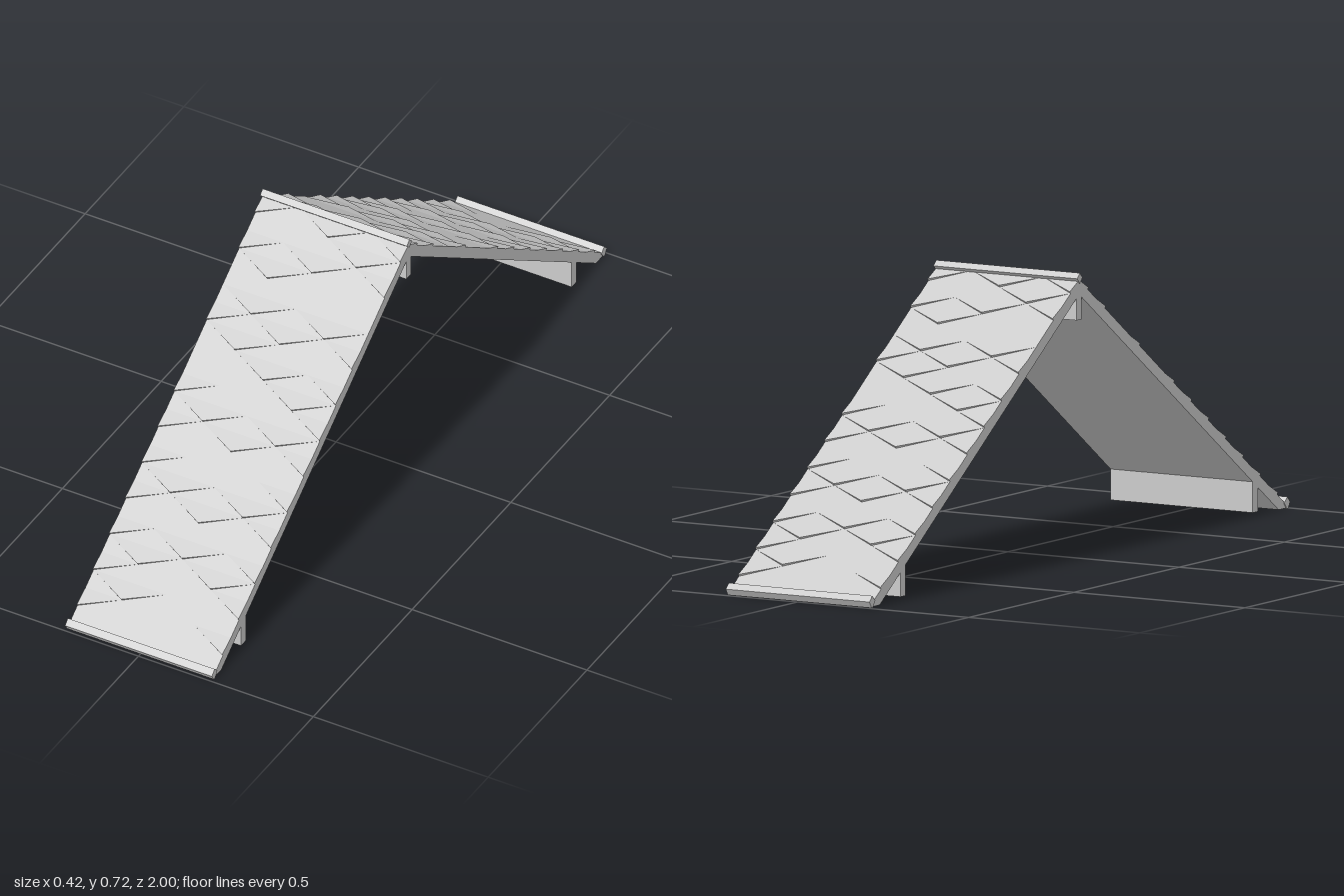
import * as THREE from 'three';

const WIDTH = 0.416;
const SLOPE = 0.7;
const RIDGE_Y = 0.7;
const material = new THREE.MeshStandardMaterial({ color: 0xcccccc, flatShading: true });
const tileMaterial = new THREE.MeshStandardMaterial({ color: 0xcccccc, flatShading: true, side: THREE.DoubleSide });

// Extrude a (z, y) profile across the roof width
function bar(name, points, width = WIDTH) {
  const shape = new THREE.Shape(points.map(([z, y]) => new THREE.Vector2(z, y)));
  const geometry = new THREE.ExtrudeGeometry(shape, { depth: width, bevelEnabled: false });
  geometry.rotateY(-Math.PI / 2).translate(width / 2, 0, 0);
  const mesh = new THREE.Mesh(geometry, material);
  mesh.name = name;
  return mesh;
}

// Raised tile tips: one column per string, one row per digit, ridge to eaves
const COLUMNS = [
  '110101111111',
  '001110101011',
  '110110101100',
  '010101101010',
  '110111111111',
];

function shingles() {
  const stepX = WIDTH / 4, stepY = 0.0573, lift = 0.006;
  const normal = new THREE.Vector3(0, 1, SLOPE).normalize();
  const onSlope = (x, y) => new THREE.Vector3(x, y, (RIDGE_Y - y) / SLOPE);
  const positions = [];
  const triangle = (...corners) => corners.forEach((v) => positions.push(v.x, v.y, v.z));

  COLUMNS.forEach((rows, col) => {
    const x = (col - 2) * stepX;
    [...rows].forEach((on, row) => {
      if (on === '0') return;
      const y = RIDGE_Y - row * stepY - (col % 2 ? 0 : stepY / 2);
      const tip = onSlope(x, y);
      const raised = tip.clone().addScaledVector(normal, lift);
      const middle = onSlope(x, y + stepY / 2);
      for (const side of [-1, 1]) {
        if (Math.abs(col - 2 + side) > 2) {
          triangle(middle, raised, tip); // closed verge of a half tile
          continue;
        }
        const corner = onSlope(x + side * stepX, y + stepY / 2);
        if (side > 0) {
          triangle(middle, raised, corner);
          triangle(tip, corner, raised);
        } else {
          triangle(middle, corner, raised);
          triangle(tip, raised, corner);
        }
      }
    });
  });
  const geometry = new THREE.BufferGeometry();
  geometry.setAttribute('position', new THREE.Float32BufferAttribute(positions, 3));
  geometry.computeVertexNormals();
  const mesh = new THREE.Mesh(geometry, tileMaterial);
  mesh.name = 'shingles';
  return mesh;
}

// One sloping half with tiles, support rail and eaves lip
function roofHalf() {
  const half = new THREE.Group();
  half.add(
    bar('roofPanel', [[0, 0.7], [0.975, 0.0175], [0.985, 0.002], [0.948, 0.002], [0, 0.664]]),
    bar('supportRail', [[0.825, 0.1], [0.825, 0.01], [0.849, 0.01], [0.849, 0.09]]),
    bar('eavesLip', [[1, 0.016], [0.986, 0.03], [0.972, 0.016], [0.984, 0], [0.99, 0]], 0.42),
    shingles(),
  );
  return half;
}

export function createModel() {
  const model = new THREE.Group();
  model.name = 'gableRoof';

  const front = roofHalf();
  front.name = 'frontSlope';
  const back = roofHalf();
  back.name = 'backSlope';
  back.rotation.y = Math.PI;

  // Ridge cap and the rail hanging below it
  model.add(
    front,
    back,
    bar('ridgeCap', [[0, 0.718], [-0.013, 0.705], [0, 0.692], [0.013, 0.705]], 0.42),
    bar('ridgeRail', [[-0.012, 0.6], [0.012, 0.6], [0.012, 0.68], [-0.012, 0.68]]),
  );
  return model;
}
